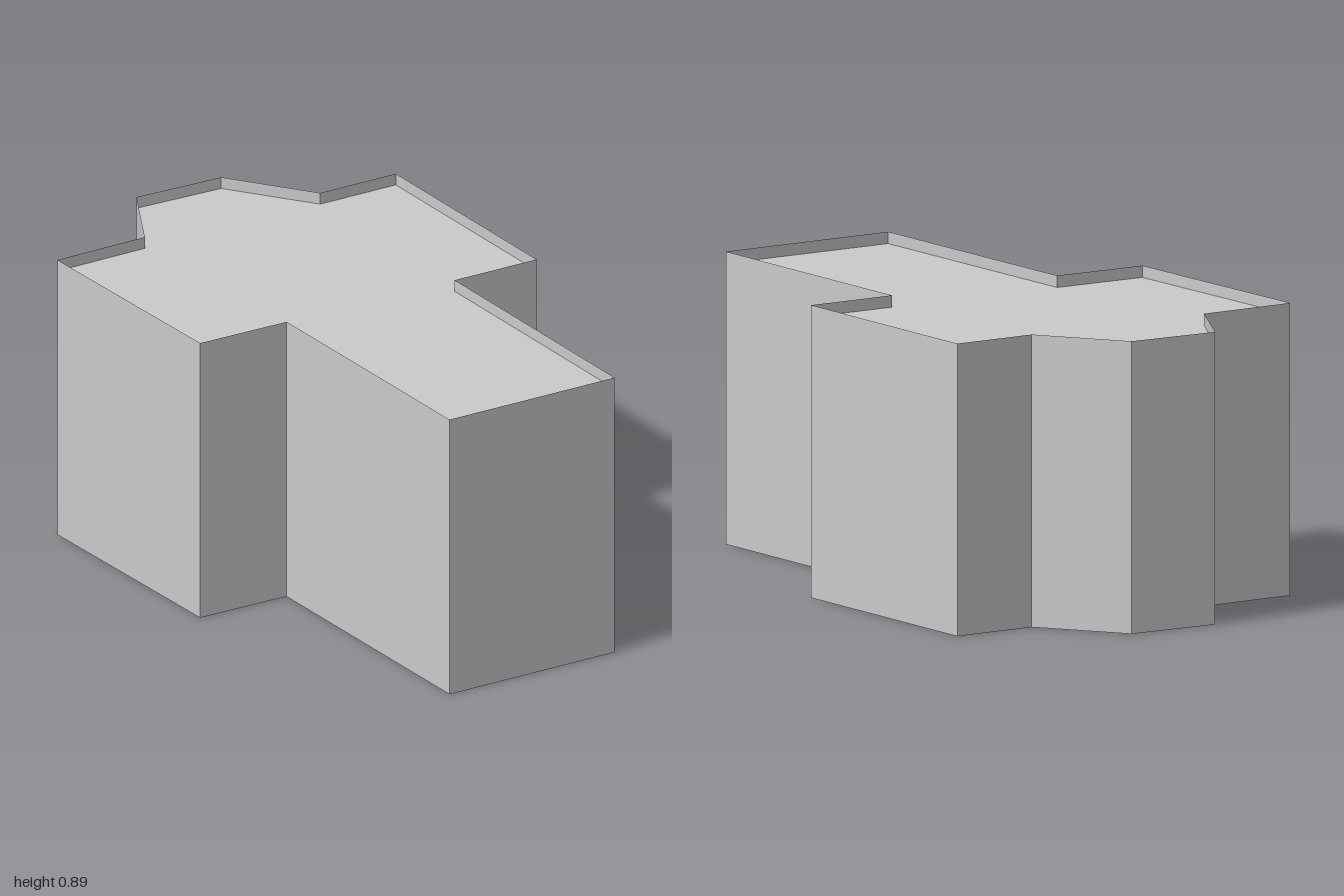
import * as THREE from 'three';

const HEIGHT = 0.888;
const ROOF = 0.852;

// Footprint corners as [x, z], clockwise seen from above
const OUTLINE = [
  [-0.217, -0.972], [0.078, -1], [0.29, -0.76], [0.559, -0.796],
  [0.643, -0.01], [0.352, 0.028], [0.447, 0.922], [-0.14, 1],
  [-0.242, 0.1], [-0.547, 0.136], [-0.645, -0.635], [-0.332, -0.68],
];

export function createModel() {
  const building = new THREE.Group();
  building.name = 'building';
  const material = new THREE.MeshStandardMaterial({
    color: 0xcccccc, side: THREE.DoubleSide, flatShading: true,
  });

  // Thin outer walls, open below and rising past the roof as a parapet
  const walls = new THREE.Group();
  walls.name = 'walls';
  OUTLINE.forEach(([ax, az], i) => {
    const [bx, bz] = OUTLINE[(i + 1) % OUTLINE.length];
    const dx = bx - ax, dz = bz - az;
    const wall = new THREE.Mesh(new THREE.PlaneGeometry(Math.hypot(dx, dz), HEIGHT), material);
    wall.name = `wall${i + 1}`;
    wall.position.set((ax + bx) / 2, HEIGHT / 2, (az + bz) / 2);
    wall.rotation.y = Math.atan2(dz, -dx);
    walls.add(wall);
  });
  building.add(walls);

  // Flat roof set slightly below the wall tops
  const shape = new THREE.Shape(OUTLINE.map(([x, z]) => new THREE.Vector2(x, -z)));
  const roof = new THREE.Mesh(new THREE.ShapeGeometry(shape).rotateX(-Math.PI / 2), material);
  roof.name = 'roof';
  roof.position.y = ROOF;
  building.add(roof);

  return building;
}
